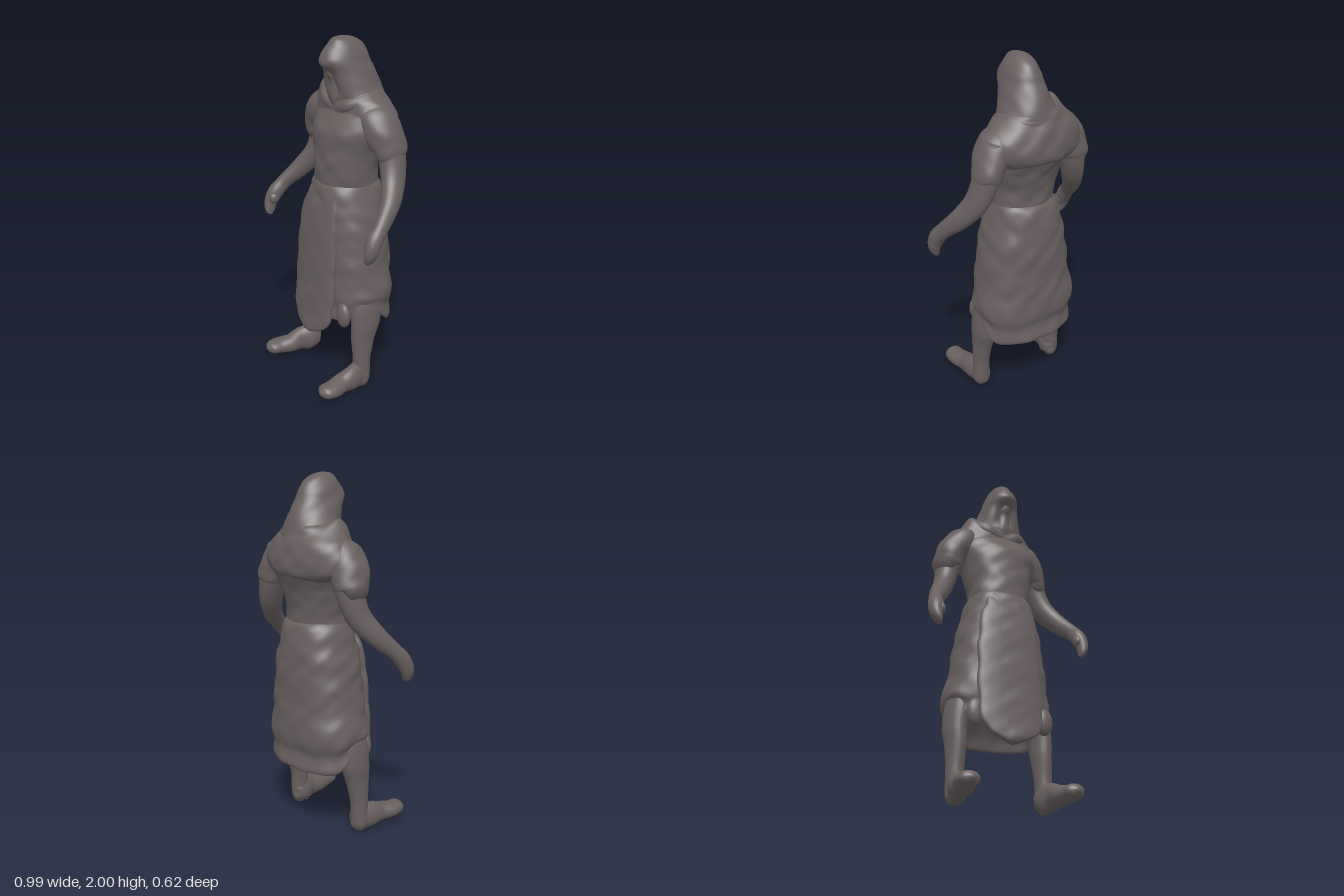
import * as THREE from 'three';

const cloth = new THREE.MeshStandardMaterial({ color: 0x685f5f, side: THREE.DoubleSide });
cloth.name = 'dark brown grey';

// Soft cloth unevenness, as a height in units
const folds = (p, k) => k * (Math.sin(p.y * 31 + p.x * 13) * Math.sin(p.x * 23 + p.z * 17 + 1)
  + 0.6 * Math.sin(p.y * 57 - p.z * 29) * Math.sin(p.x * 41 + 2));

// Smooth skin through rings [x, y, z, radiusU, radiusV]; flat keeps every ring horizontal
function loft(rings, { flat = false, power = 2, wrinkle = 0, warp = null, seg = 40, sub = 6 } = {}) {
  const path = new THREE.CatmullRomCurve3(rings.map(r => new THREE.Vector3(r[0], r[1], r[2])), false, 'catmullrom');
  const size = new THREE.CatmullRomCurve3(rings.map(r => new THREE.Vector3(r[3], r[4], 0)), false, 'catmullrom');
  const rows = (rings.length - 1) * sub, pos = [], index = [];
  const put = p => { if (warp) warp(p); pos.push(p.x, p.y, p.z); };
  const bend = v => Math.sign(v) * Math.pow(Math.abs(v), 2 / power);
  for (let i = 0; i <= rows; i++) {
    const c = path.getPoint(i / rows), s = size.getPoint(i / rows);
    const t = flat ? new THREE.Vector3(0, 1, 0) : path.getTangent(i / rows);
    const u = new THREE.Vector3(1, 0, 0).addScaledVector(t, -t.x).normalize();
    const v = u.clone().cross(t);
    for (let j = 0; j < seg; j++) {
      const a = j / seg * Math.PI * 2;
      const d = u.clone().multiplyScalar(bend(Math.cos(a)) * Math.max(s.x, 0.002))
        .addScaledVector(v, bend(Math.sin(a)) * Math.max(s.y, 0.002));
      const p = c.clone().add(d);
      if (wrinkle) p.addScaledVector(d.normalize(), folds(p, wrinkle));
      put(p);
    }
  }
  for (let i = 0; i < rows; i++) for (let j = 0; j < seg; j++) {
    const k = (j + 1) % seg, a = i * seg + j, b = i * seg + k;
    index.push(a, a + seg, b, b, a + seg, b + seg);
  }
  // End caps
  const n = (rows + 1) * seg;
  put(path.getPoint(0));
  put(path.getPoint(1));
  for (let j = 0; j < seg; j++) {
    const k = (j + 1) % seg, top = rows * seg;
    index.push(n, j, k, n + 1, top + k, top + j);
  }
  const g = new THREE.BufferGeometry();
  g.setAttribute('position', new THREE.Float32BufferAttribute(pos, 3));
  g.setIndex(index);
  g.computeVertexNormals();
  return g;
}

// Horizontal ring given by its height, half width and front and back z
const slab = (y, rx, front, back, x = 0) => [x, y, (front + back) / 2, rx, (front - back) / 2];

export function createModel() {
  const model = new THREE.Group();
  const add = (name, geometry) => {
    const m = new THREE.Mesh(geometry, cloth);
    m.name = name;
    model.add(m);
    return m;
  };
  const blob = (name, p, s) => {
    const m = add(name, new THREE.SphereGeometry(1, 24, 16));
    m.position.set(...p);
    m.scale.set(...s);
  };

  // Torso
  add('torso', loft([
    slab(1.1, 0.17, 0.08, -0.21), slab(1.2, 0.178, 0.1, -0.225), slab(1.3, 0.183, 0.1, -0.23),
    slab(1.4, 0.205, 0.098, -0.26), slab(1.5, 0.235, 0.09, -0.295), slab(1.57, 0.25, 0.055, -0.295),
    slab(1.63, 0.235, 0.015, -0.285), slab(1.68, 0.18, 0.005, -0.26), slab(1.74, 0.12, 0, -0.23),
    slab(1.76, 0.02, -0.08, -0.14),
  ], { flat: true, power: 2.2, wrinkle: 0.004, seg: 56 }));

  // Mantle draped over the shoulders, bunched up on the right
  add('mantle', loft([
    slab(1.43, 0.17, 0, -0.24), slab(1.48, 0.26, 0.025, -0.293, -0.01), slab(1.54, 0.294, 0.03, -0.305, -0.012),
    slab(1.6, 0.288, 0.03, -0.298, -0.014), slab(1.65, 0.25, 0.026, -0.284, -0.016),
    slab(1.69, 0.205, 0.02, -0.265, -0.014), slab(1.73, 0.155, 0.01, -0.25, -0.01), slab(1.76, 0.1, -0.02, -0.2),
  ], {
    flat: true, power: 2.05, wrinkle: 0.005, seg: 72, sub: 8,
    warp: p => {
      if (p.y > 1.6) p.y += 0.055 * Math.exp(-(((p.x + 0.185) / 0.04) ** 2) - (((p.z + 0.06) / 0.08) ** 2));
    },
  }));

  // Hood, slightly hollowed around the face
  add('hood', loft([
    slab(1.6, 0.19, 0, -0.28), slab(1.68, 0.17, 0.03, -0.268), slab(1.75, 0.142, 0.05, -0.252),
    slab(1.82, 0.117, 0.075, -0.228), slab(1.87, 0.1, 0.098, -0.202), slab(1.91, 0.09, 0.085, -0.184),
    slab(1.955, 0.07, 0.055, -0.152), slab(1.987, 0.043, 0.03, -0.1), slab(2.0, 0.004, -0.02, -0.04),
  ], {
    flat: true, wrinkle: 0.003, seg: 64, sub: 8,
    warp: p => {
      const dip = Math.exp(-((p.x / 0.06) ** 4)) * Math.exp(-(((p.y - 1.77) / 0.07) ** 4));
      if (p.z > -0.04) p.z -= 0.022 * dip;
    },
  }));

  // Face and covered chin inside the hood
  add('face', loft([
    slab(1.6, 0.03, 0.015, -0.05), slab(1.66, 0.055, 0.032, -0.08), slab(1.72, 0.05, 0.041, -0.1),
    slab(1.77, 0.045, 0.049, -0.1), slab(1.8, 0.046, 0.06, -0.1), slab(1.83, 0.045, 0.062, -0.1),
    slab(1.87, 0.04, 0.06, -0.1),
  ], { flat: true, wrinkle: 0.003 }));

  // Scarf lying around the neck
  const collar = [[-0.145, 1.705, -0.08], [-0.1, 1.665, -0.01], [0.005, 1.625, -0.014], [0.09, 1.65, -0.015],
    [0.14, 1.68, -0.1], [0.09, 1.685, -0.2], [0, 1.68, -0.225], [-0.1, 1.695, -0.19]];
  add('scarf', new THREE.TubeGeometry(new THREE.CatmullRomCurve3(
    collar.map(p => new THREE.Vector3(...p)), true), 80, 0.042, 16, true));

  // Arms with hands
  add('rightArm', loft([
    [-0.22, 1.58, -0.11, 0.08, 0.09], [-0.28, 1.47, -0.12, 0.075, 0.085], [-0.305, 1.37, -0.115, 0.066, 0.078],
    [-0.335, 1.27, -0.085, 0.058, 0.07], [-0.385, 1.18, -0.02, 0.05, 0.058], [-0.435, 1.09, 0.07, 0.038, 0.045],
    [-0.452, 1.03, 0.125, 0.043, 0.046], [-0.462, 0.97, 0.155, 0.034, 0.04], [-0.449, 0.92, 0.17, 0.02, 0.03],
    [-0.435, 0.9, 0.172, 0.006, 0.008],
  ], { seg: 28 }));
  add('leftArm', loft([
    [0.21, 1.58, -0.14, 0.08, 0.09], [0.265, 1.47, -0.15, 0.075, 0.085], [0.295, 1.37, -0.15, 0.066, 0.078],
    [0.335, 1.27, -0.125, 0.058, 0.07], [0.39, 1.18, -0.065, 0.05, 0.058], [0.437, 1.09, 0.025, 0.038, 0.045],
    [0.45, 1.03, 0.08, 0.043, 0.046], [0.458, 0.97, 0.105, 0.034, 0.04], [0.447, 0.92, 0.115, 0.02, 0.03],
    [0.435, 0.9, 0.117, 0.006, 0.008],
  ], { seg: 28 }));
  blob('rightThumb', [-0.432, 1.0, 0.148], [0.026, 0.035, 0.032]);
  blob('leftThumb', [0.43, 1.0, 0.1], [0.026, 0.035, 0.032]);

  // Short sleeves with a turned-in rim
  add('rightSleeve', loft([
    [-0.15, 1.63, -0.1, 0.05, 0.08], [-0.215, 1.59, -0.095, 0.09, 0.108], [-0.268, 1.52, -0.1, 0.098, 0.11],
    [-0.292, 1.455, -0.11, 0.09, 0.105], [-0.305, 1.415, -0.113, 0.08, 0.098], [-0.3, 1.41, -0.115, 0.055, 0.065],
  ], { wrinkle: 0.004 }));
  add('leftSleeve', loft([
    [0.13, 1.62, -0.12, 0.05, 0.08], [0.19, 1.58, -0.12, 0.088, 0.11], [0.238, 1.51, -0.135, 0.09, 0.108],
    [0.268, 1.45, -0.148, 0.08, 0.1], [0.283, 1.405, -0.148, 0.071, 0.088], [0.28, 1.4, -0.15, 0.055, 0.065],
  ], { wrinkle: 0.003 }));

  // Skirt, hollow below, hem lower at the back
  add('skirt', loft([
    slab(0.6, 0.12, 0.02, -0.16), slab(0.54, 0.23, 0.09, -0.23), slab(0.495, 0.27, 0.115, -0.26, -0.005),
    slab(0.505, 0.29, 0.135, -0.28, -0.005), slab(0.55, 0.288, 0.13, -0.268, -0.005),
    slab(0.6, 0.306, 0.14, -0.285, -0.01), slab(0.7, 0.281, 0.142, -0.278, -0.005), slab(0.85, 0.26, 0.138, -0.275),
    slab(1.0, 0.237, 0.132, -0.272), slab(1.1, 0.21, 0.122, -0.26), slab(1.19, 0.188, 0.112, -0.245),
    slab(1.225, 0.17, 0.09, -0.215),
  ], {
    flat: true, power: 2.4, wrinkle: 0.005, seg: 64,
    warp: p => {
      const back = THREE.MathUtils.smoothstep(-p.z, 0.04, 0.2), front = THREE.MathUtils.smoothstep(p.z, 0.03, 0.12);
      if (p.y < 0.65) p.y -= (0.65 - p.y) * (0.65 * back + 0.45 * front);
    },
  }));

  // Long front panel with a blunt point
  add('frontPanel', loft([
    [-0.03, 0.3, 0.18, 0.006, 0.006], [-0.03, 0.325, 0.18, 0.055, 0.022], [-0.02, 0.37, 0.174, 0.135, 0.026],
    [-0.02, 0.45, 0.165, 0.177, 0.026], [-0.02, 0.6, 0.148, 0.184, 0.03], [-0.022, 0.8, 0.133, 0.18, 0.032],
    [-0.02, 1.0, 0.114, 0.165, 0.034], [-0.01, 1.12, 0.092, 0.14, 0.03], [0, 1.2, 0.072, 0.12, 0.02],
  ], { flat: true, power: 2.8, wrinkle: 0.005, seg: 48, warp: p => { p.z -= 0.35 * p.x * p.x; } }));

  // Gathered cloth beside the panel
  for (const s of [-1, 1]) blob('sideGather', [s * 0.2, 0.48, 0.095], [0.05, 0.075, 0.035]);

  // Legs and feet
  for (const [side, x, toe] of [['right', -0.262, -0.302], ['left', 0.238, 0.272]]) {
    const out = Math.sign(x);
    add(side + 'Leg', loft([
      [x - out * 0.06, 0.68, -0.06, 0.06, 0.09], [x - out * 0.02, 0.55, -0.04, 0.066, 0.098],
      [x, 0.42, -0.034, 0.061, 0.094], [x, 0.32, -0.016, 0.054, 0.076], [x + out * 0.004, 0.2, -0.005, 0.048, 0.055],
      [x + out * 0.006, 0.12, -0.003, 0.047, 0.052], [x + out * 0.008, 0.05, -0.002, 0.045, 0.045],
      [x + out * 0.008, 0.012, 0, 0.025, 0.025],
    ], { flat: true, seg: 28 }));
    const mid = (x + toe) / 2;
    add(side + 'Foot', loft([
      [x, 0.06, -0.05, 0.01, 0.012], [x, 0.062, -0.03, 0.038, 0.046], [x, 0.085, 0.015, 0.049, 0.082],
      [mid, 0.086, 0.08, 0.05, 0.074], [mid, 0.078, 0.15, 0.055, 0.056], [toe, 0.076, 0.22, 0.058, 0.046],
      [toe, 0.08, 0.28, 0.05, 0.036], [toe, 0.082, 0.308, 0.012, 0.01],
    ], { seg: 28 }));
  }
  return model;
}
